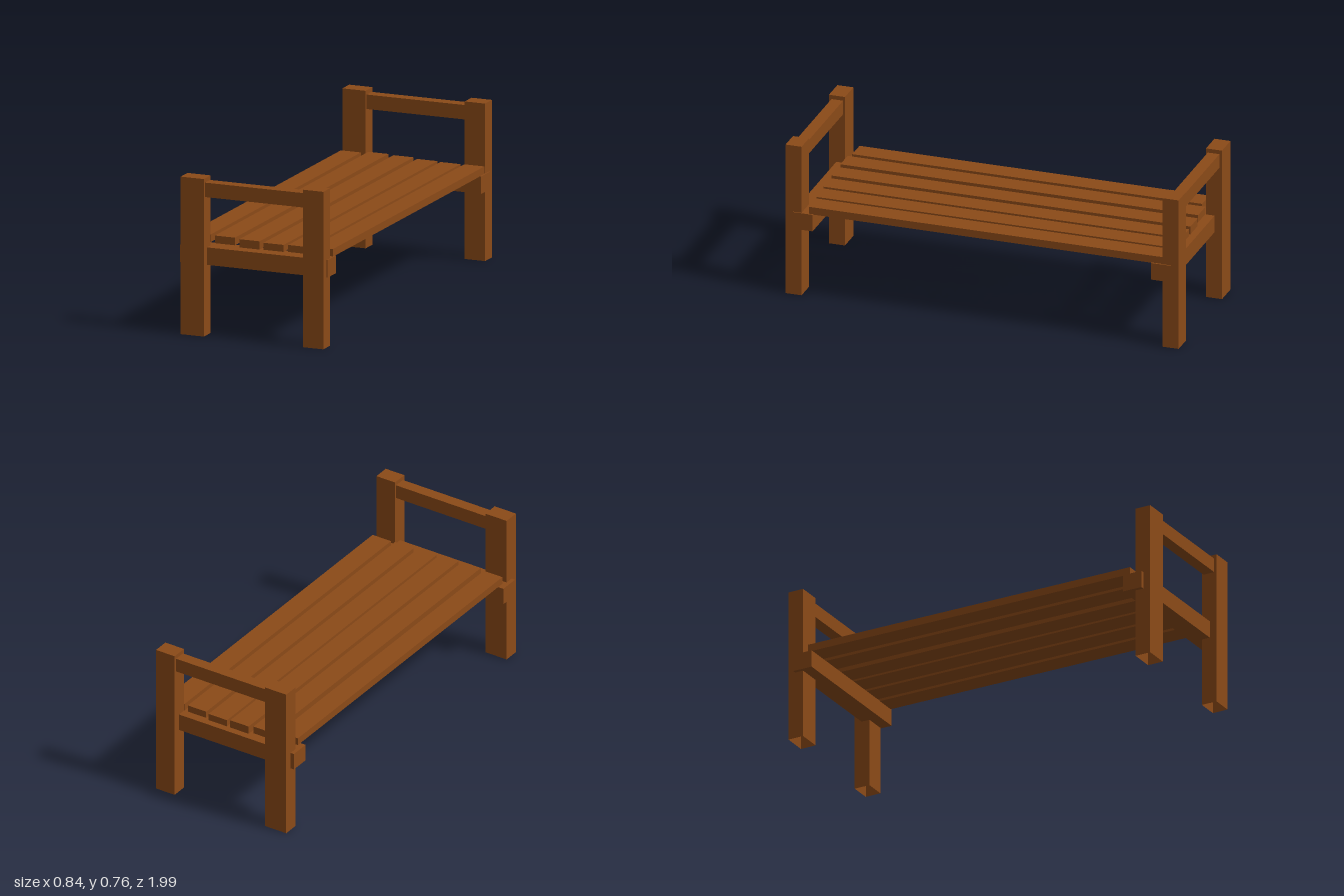
import * as THREE from 'three';

const wood = new THREE.MeshStandardMaterial({ color: 0x8b4a18, flatShading: true });
const hollowWood = new THREE.MeshStandardMaterial({ color: 0x8b4a18, flatShading: true, side: THREE.DoubleSide });

export function createModel() {
  const bench = new THREE.Group();
  bench.name = 'bench';

  // Box from its centre in x and z, and its bottom and top in y
  function plank(name, x, z, width, depth, bottom, top, material = wood) {
    const mesh = new THREE.Mesh(new THREE.BoxGeometry(width, top - bottom, depth), material);
    mesh.position.set(x, (bottom + top) / 2, z);
    mesh.name = name;
    bench.add(mesh);
    return mesh;
  }

  for (const [end, s] of [['front', 1], ['back', -1]]) {
    // Corner posts, open underneath; the right-hand ones are wider
    for (const [side, x, width] of [['Right', -0.305, 0.12], ['Left', 0.318, 0.105]]) {
      const post = plank(end + side + 'Post', x, s * 0.942, width, 0.08, 0, 0.765, hollowWood);
      const index = Array.from(post.geometry.index.array);
      index.splice(18, 6); // drop the bottom face
      post.geometry.setIndex(index);
      post.geometry.clearGroups();
    }
    // Lower beam carries the slats and sticks out past the posts
    plank(end + 'Beam', -0.004, s * 0.895, 0.76, 0.1, 0.34, 0.425);
    // Upper rail between the posts
    plank(end + 'Rail', 0.01, s * 0.94, 0.53, 0.058, 0.675, 0.745);
  }

  // Lengthwise slats, laid slightly unevenly: x, back z, front z, bottom, top
  const slats = [
    [-0.31, -0.878, 0.87, 0.433, 0.47],
    [-0.18, -0.904, 0.884, 0.433, 0.47],
    [-0.053, -0.91, 0.884, 0.425, 0.465],
    [0.069, -0.91, 0.88, 0.425, 0.459],
    [0.193, -0.9, 0.872, 0.425, 0.459],
    [0.316, -0.9, 0.866, 0.423, 0.46],
  ];
  slats.forEach(([x, back, front, bottom, top], i) =>
    plank('slat' + (i + 1), x, (back + front) / 2, 0.104, front - back, bottom, top));

  // The whole piece stands slightly askew
  bench.rotation.y = -0.043;
  const model = new THREE.Group();
  model.add(bench);
  return model;
}
